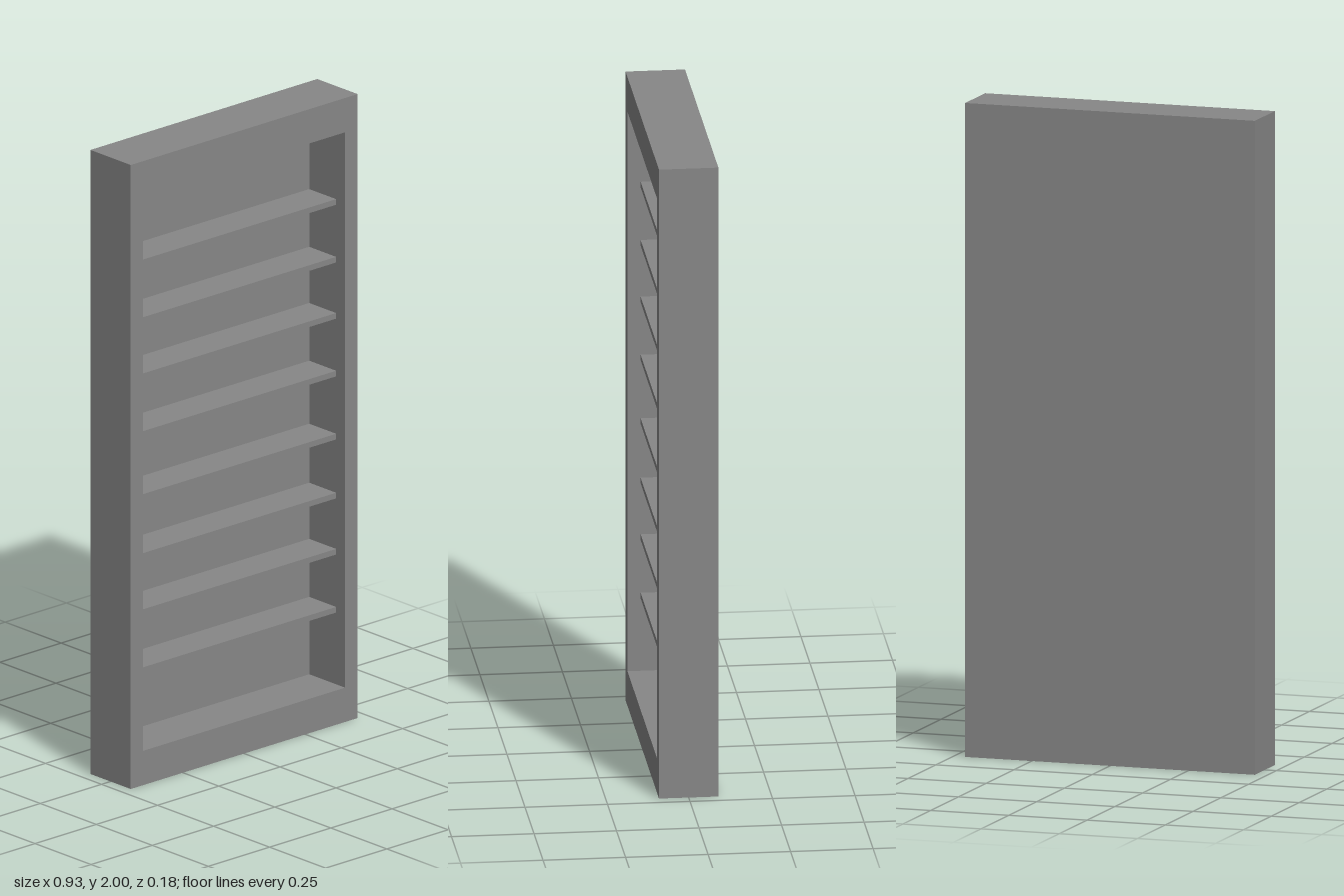
import * as THREE from 'three';

const WIDTH = 0.926, HEIGHT = 2, DEPTH = 0.18;
const INNER_X = 0.412, INNER_BOTTOM = 0.11, INNER_TOP = 1.89;
const BACK_Z = -0.07, SHELF_FRONT_Z = 0.05, SHELF_THICKNESS = 0.018;
const SHELF_HEIGHTS = [0.349, 0.535, 0.715, 0.904, 1.106, 1.291, 1.471, 1.656];

function rectangle(path, x, bottom, top) {
  path.moveTo(-x, bottom);
  path.lineTo(x, bottom);
  path.lineTo(x, top);
  path.lineTo(-x, top);
  path.closePath();
  return path;
}

export function createModel() {
  const model = new THREE.Group();
  model.name = 'shelfUnit';
  const material = new THREE.MeshStandardMaterial({ color: 0x878787 });

  const add = (name, geometry, x, y, z) => {
    const mesh = new THREE.Mesh(geometry, material);
    mesh.name = name;
    mesh.position.set(x, y, z);
    model.add(mesh);
  };

  // Surrounding frame with a rectangular opening
  const outline = rectangle(new THREE.Shape(), WIDTH / 2, 0, HEIGHT);
  outline.holes.push(rectangle(new THREE.Path(), INNER_X, INNER_BOTTOM, INNER_TOP));
  const frame = new THREE.ExtrudeGeometry(outline, { depth: DEPTH, bevelEnabled: false });
  add('frame', frame, 0, 0, -DEPTH / 2);

  // Back panel closing the opening, flush with the rear of the frame
  const panelDepth = BACK_Z + DEPTH / 2;
  const panel = new THREE.BoxGeometry(INNER_X * 2, INNER_TOP - INNER_BOTTOM, panelDepth);
  add('backPanel', panel, 0, (INNER_TOP + INNER_BOTTOM) / 2, BACK_Z - panelDepth / 2);

  // Shelves, set back from the front of the frame
  const shelf = new THREE.BoxGeometry(INNER_X * 2, SHELF_THICKNESS, SHELF_FRONT_Z - BACK_Z);
  SHELF_HEIGHTS.forEach((y, i) => {
    add(`shelf${i + 1}`, shelf, 0, y, (SHELF_FRONT_Z + BACK_Z) / 2);
  });

  return model;
}
